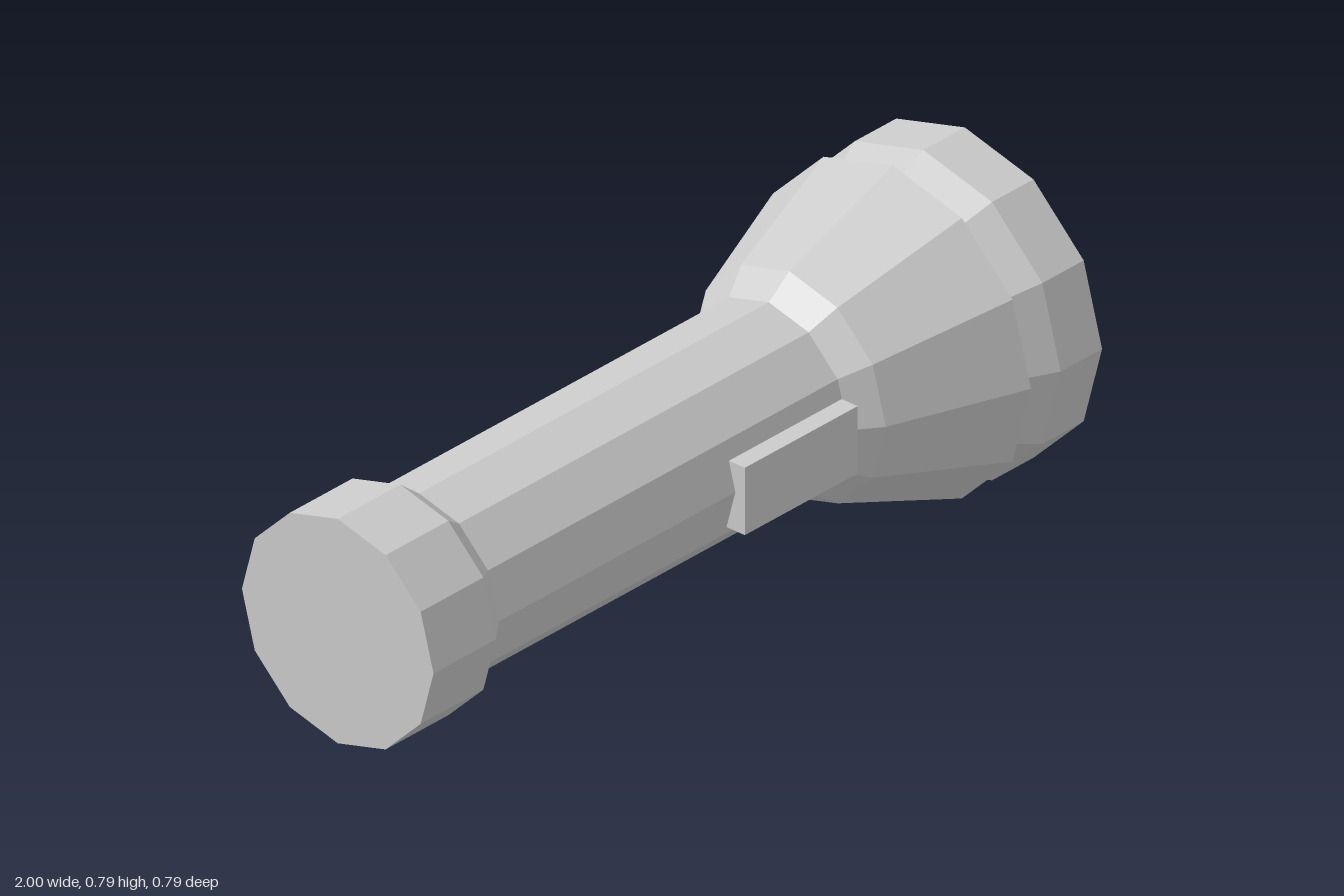
import * as THREE from 'three';

const SIDES = 12;
const AXIS_HEIGHT = 0.4;

export function createModel() {
  const torch = new THREE.Group();
  torch.name = 'flashlight';
  const material = new THREE.MeshStandardMaterial({ color: 0xcccccc, flatShading: true });

  // Turns a profile of [x along the barrel, radius] pairs around the x axis
  function addTurned(name, profile) {
    const points = profile.map(([x, r]) => new THREE.Vector2(r, x));
    const geometry = new THREE.LatheGeometry(points, SIDES);
    geometry.rotateZ(-Math.PI / 2);
    const mesh = new THREE.Mesh(geometry, material);
    mesh.name = name;
    mesh.position.y = AXIS_HEIGHT;
    torch.add(mesh);
  }

  // Closed end cap with a chamfer down to the barrel
  addTurned('tailCap', [[-1, 0], [-1, 0.275], [-0.8, 0.275], [-0.74, 0.228]]);

  // Straight grip
  addTurned('barrel', [[-0.74, 0.228], [0.375, 0.228]]);

  // Flared head, groove, bezel and the sloped recess inside its rim
  addTurned('head', [
    [0.375, 0.228], [0.44, 0.277], [0.77, 0.397], [0.8, 0.36],
    [0.868, 0.394], [1, 0.394], [0.94, 0.293],
  ]);

  // Bevelled lens
  addTurned('lens', [[0.94, 0.293], [0.998, 0.238], [0.998, 0]]);

  // Switch on the front of the barrel, butting against the head
  const button = new THREE.Mesh(new THREE.BoxGeometry(0.36, 0.165, 0.075), material);
  button.name = 'switch';
  button.position.set(0.195, 0.3875, 0.2175);
  torch.add(button);

  return torch;
}
